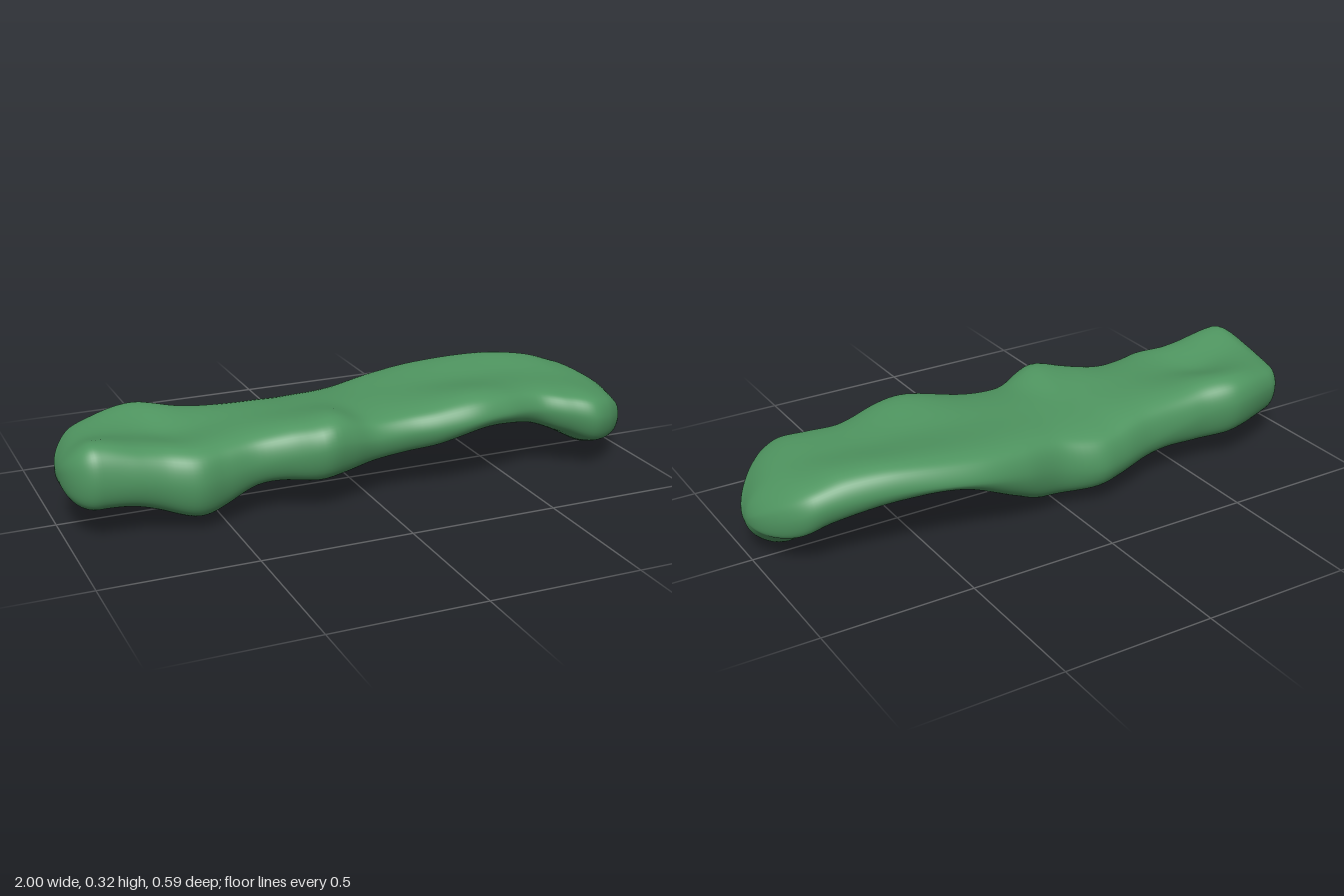
import * as THREE from 'three';
import { mergeVertices } from 'three/addons/utils/BufferGeometryUtils.js';

// Lengthwise profiles as [x, value] keys: outline depth, edge heights, top and underside
const P = {
  zFront: [[-1, .22], [-.9, .225], [-.8, .232], [-.7, .24], [-.6, .265], [-.5, .238], [-.4, .22], [-.3, .24], [-.19, .287], [-.1, .27], [0, .236], [.12, .238], [.22, .265], [.34, .285], [.45, .27], [.6, .23], [.7, .265], [.79, .294], [.9, .24], [1, .19]],
  zBack: [[-1, -.12], [-.95, -.155], [-.87, -.21], [-.69, -.265], [-.55, -.235], [-.35, -.236], [-.2, -.275], [-.11, -.292], [.03, -.263], [.18, -.288], [.32, -.3], [.45, -.288], [.6, -.258], [.8, -.205], [.9, -.175], [1, -.12]],
  yFront: [[-1, .2], [-.8, .19], [-.6, .16], [-.3, .2], [-.15, .23], [0, .21], [.2, .225], [.4, .25], [.6, .23], [.8, .19], [1, .14]],
  yBack: [[-1, .2], [-.7, .22], [-.4, .16], [-.1, .135], [.1, .17], [.35, .22], [.6, .24], [.8, .22], [.9, .19], [1, .15]],
  topFront: [[-1, .29], [-.9, .312], [-.75, .285], [-.6, .268], [-.4, .272], [-.25, .295], [-.14, .313], [-.02, .278], [.15, .285], [.36, .32], [.55, .3], [.7, .28], [.8, .265], [.9, .235], [1, .19]],
  topMid: [[-1, .28], [-.85, .285], [-.65, .26], [-.4, .276], [0, .285], [.4, .298], [.6, .299], [.7, .292], [.85, .268], [1, .235]],
  topBack: [[-1, .24], [-.85, .28], [-.68, .302], [-.5, .275], [-.3, .262], [-.1, .25], [.1, .278], [.35, .302], [.6, .315], [.75, .303], [.85, .272], [1, .22]],
  botBack: [[-1, .11], [-.8, .1], [-.57, .075], [-.4, .085], [-.15, .05], [.08, .05], [.2, .1], [.4, .19], [.6, .19], [.8, .14], [.9, .1], [1, .07]],
  botMid: [[-1, .1], [-.8, .085], [-.57, .002], [-.37, .08], [-.1, .065], [.1, .08], [.25, .15], [.4, .195], [.6, .165], [.75, .09], [.87, .025], [1, .02]],
  botFront: [[-1, .1], [-.8, .095], [-.57, .035], [-.37, .1], [-.18, .1], [0, .12], [.2, .15], [.38, .2], [.55, .18], [.7, .13], [.8, .09], [.9, .08], [1, .07]],
};

// Smooth Hermite interpolation between keys
function sample(keys, x) {
  let i = 0;
  while (i < keys.length - 2 && x > keys[i + 1][0]) i++;
  const slope = (k) => {
    const a = keys[Math.max(0, k - 1)], b = keys[Math.min(keys.length - 1, k + 1)];
    return (b[1] - a[1]) / (b[0] - a[0]);
  };
  const [x0, v0] = keys[i], [x1, v1] = keys[i + 1];
  const h = x1 - x0, t = (x - x0) / h, t2 = t * t, t3 = t2 * t;
  return (2 * t3 - 3 * t2 + 1) * v0 + (t3 - 2 * t2 + t) * h * slope(i)
    + (3 * t2 - 2 * t3) * v1 + (t3 - t2) * h * slope(i + 1);
}

// Point that rounds the corner between a shoulder and an edge, each [y, z]
const corner = (shoulder, edge) => [
  edge[0] + (shoulder[0] - edge[0]) * 0.71,
  shoulder[1] + (edge[1] - shoulder[1]) * 0.71,
];

// Rounded closed cross-section at x, shrinking to a point at both ends
function section(x, count) {
  const v = {};
  for (const name in P) v[name] = sample(P[name], x);
  const mid = (v.zFront + v.zBack) / 2, half = (v.zFront - v.zBack) / 2;
  const zf = mid + half * 0.7, zb = mid - half * 0.7;
  const front = [v.yFront, v.zFront], back = [v.yBack, v.zBack];
  const topFront = [v.topFront, zf], topBack = [v.topBack, zb];
  const botFront = [v.botFront, zf], botBack = [v.botBack, zb];
  const ring = new THREE.CatmullRomCurve3([
    front, corner(topFront, front), topFront, [v.topMid, mid], topBack, corner(topBack, back),
    back, corner(botBack, back), botBack, [v.botMid, mid], botFront, corner(botFront, front),
  ].map(([y, z]) => new THREE.Vector3(x, y, z)), true, 'centripetal');

  const left = x < 0;
  const d = Math.min(1, (1 - Math.abs(x)) / (left ? 0.1 : 0.15));
  const s = Math.sqrt(Math.max(0, 1 - (1 - d) ** 2));
  const cy = left ? 0.2 : 0.13, cz = left ? 0.07 : 0.03;
  const points = [];
  for (let j = 0; j < count; j++) {
    const p = ring.getPoint(j / count);
    points.push(x, cy + (p.y - cy) * s, cz + (p.z - cz) * s);
  }
  return points;
}

function slabGeometry(stations = 140, around = 72) {
  const positions = [], index = [];
  for (let i = 0; i <= stations; i++) {
    positions.push(...section(-Math.cos(Math.PI * i / stations), around));
    if (i === stations) break;
    for (let j = 0; j < around; j++) {
      const k = (j + 1) % around;
      const a = i * around + j, b = i * around + k, c = a + around, e = b + around;
      index.push(a, c, b, b, c, e);
    }
  }
  let geometry = new THREE.BufferGeometry();
  geometry.setAttribute('position', new THREE.Float32BufferAttribute(positions, 3));
  geometry.setIndex(index);
  geometry = mergeVertices(geometry, 1e-5);
  geometry.computeBoundingBox();
  geometry.translate(0, -geometry.boundingBox.min.y, 0);
  geometry.computeVertexNormals();
  return geometry;
}

export function createModel() {
  const group = new THREE.Group();
  group.name = 'mossSlab';
  const moss = new THREE.MeshStandardMaterial({ color: 0x4f9560 });
  moss.name = 'moss green';
  const slab = new THREE.Mesh(slabGeometry(), moss);
  slab.name = 'lumpyMossBody';
  group.add(slab);
  return group;
}
